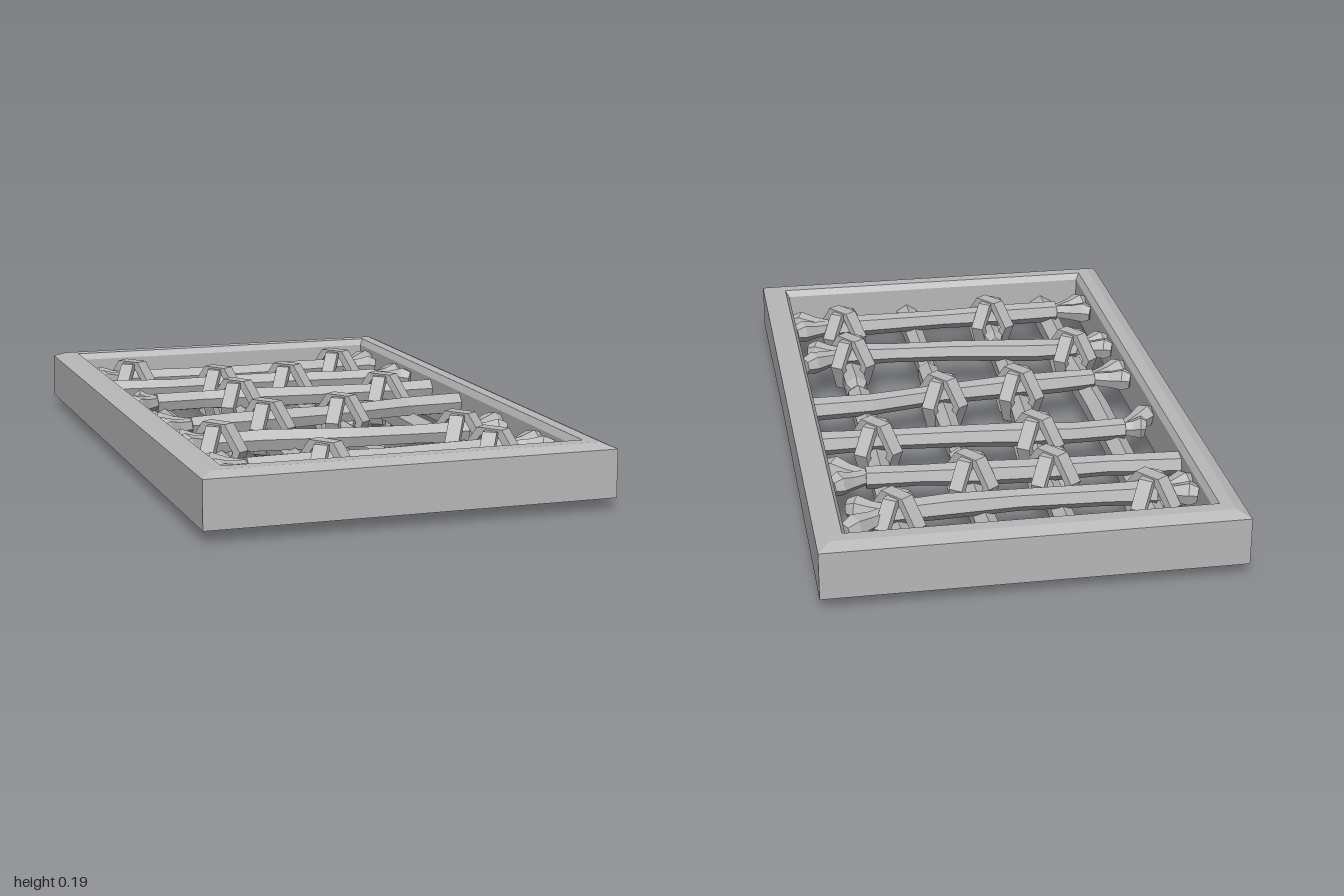
import * as THREE from 'three';

const V = (x, y, z) => new THREE.Vector3(x, y, z);
const grey = new THREE.MeshStandardMaterial({ color: 0xb8b8b8, flatShading: true });
grey.name = 'grey wood';

// Skin a list of equal-sized cross-sections; open lofts get end caps
function loft(rings, closed) {
  const n = rings[0].length, pos = [];
  const tri = (...pts) => pts.forEach(p => pos.push(p.x, p.y, p.z));
  const last = closed ? rings.length : rings.length - 1;
  for (let i = 0; i < last; i++) {
    const A = rings[i], B = rings[(i + 1) % rings.length];
    for (let j = 0; j < n; j++) {
      const k = (j + 1) % n;
      tri(A[j], A[k], B[k]);
      tri(A[j], B[k], B[j]);
    }
  }
  if (!closed) {
    const A = rings[0], B = rings[rings.length - 1];
    for (let j = 1; j < n - 1; j++) {
      tri(A[0], A[j + 1], A[j]);
      tri(B[0], B[j], B[j + 1]);
    }
  }
  const g = new THREE.BufferGeometry();
  g.setAttribute('position', new THREE.Float32BufferAttribute(pos, 3));
  g.computeVertexNormals();
  return g;
}

// Sweep a polygon along a path; radii gives [across, along ref] at each point
function sweep(path, radii, sides, turn, ref, closed = false) {
  const n = path.length;
  const rings = path.map((p, i) => {
    const prev = closed ? path[(i + n - 1) % n] : path[Math.max(i - 1, 0)];
    const next = closed ? path[(i + 1) % n] : path[Math.min(i + 1, n - 1)];
    const t = next.clone().sub(prev).normalize();
    const u = ref.clone().cross(t).normalize(), v = t.clone().cross(u);
    return Array.from({ length: sides }, (_, j) => {
      const a = turn + j / sides * Math.PI * 2;
      return p.clone().addScaledVector(u, Math.cos(a) * radii[i][0])
        .addScaledVector(v, Math.sin(a) * radii[i][1]);
    });
  });
  return loft(rings, closed);
}

export function createModel() {
  const model = new THREE.Group();
  model.name = 'lashedGrate';
  const add = (geo, name, parent = model) => {
    const m = new THREE.Mesh(geo, grey);
    m.name = name;
    parent.add(m);
  };
  const group = name => {
    const g = new THREE.Group();
    g.name = name;
    model.add(g);
    return g;
  };
  const up = V(0, 1, 0);

  // Mitred frame with bevelled top; one long rail is chipped underneath
  const profile = [[0.035, 0.195], [0, 0.18], [0, 0.04], [0.085, 0.04], [0.085, 0.175], [0.073, 0.195]];
  const corner = (sx, sz) => profile.map(([d, y]) => V(sx * (0.6 - d), y, sz * (1 - d * 1.08)));
  const chip = profile.map(([d, y], i) => V(0.6 - d, i === 2 ? 0.06 : y, 0.2));
  add(loft([corner(1, 1), chip, corner(1, -1), corner(-1, -1), corner(-1, 1)], true), 'frame');

  // Lengthwise poles: [x, z, radius] points, lying underneath
  const poles = [
    [[-0.38, -0.92, 0.04], [-0.385, -0.5, 0.036], [-0.39, 0, 0.038], [-0.38, 0.45, 0.036], [-0.385, 0.92, 0.04]],
    [[-0.125, -0.92, 0.036], [-0.13, -0.5, 0.03], [-0.14, -0.1, 0.037], [-0.155, 0.2, 0.033], [-0.165, 0.55, 0.034], [-0.165, 0.59, 0.022]],
    [[-0.165, 0.585, 0.018], [-0.165, 0.63, 0.032], [-0.16, 0.92, 0.032]],
    [[0.095, -0.92, 0.036], [0.1, -0.6, 0.034], [0.1, -0.28, 0.037], [0.1, -0.26, 0.028], [0.1, 0.05, 0.036], [0.1, 0.39, 0.034], [0.1, 0.41, 0.028], [0.1, 0.92, 0.037]],
    [[0.345, -0.92, 0.038], [0.355, -0.5, 0.034], [0.35, -0.1, 0.034], [0.35, 0.23, 0.037], [0.35, 0.27, 0.022]],
    [[0.35, 0.265, 0.02], [0.35, 0.3, 0.037], [0.355, 0.6, 0.034], [0.35, 0.92, 0.037]],
  ];
  const poleGroup = group('lengthwisePoles');
  poles.forEach(p => add(sweep(p.map(([x, z]) => V(x, 0.078, z)),
    p.map(q => [q[2] * 1.08, q[2] * 1.1]), 6, Math.PI / 2, up), 'pole', poleGroup));

  // Crosswise branches: path points [x, z], then the ends of the forked prongs
  const branches = [
    { path: [[-0.4, -0.71], [-0.25, -0.7], [0, -0.69], [0.2, -0.695], [0.37, -0.71]],
      left: [[-0.515, -0.75], [-0.515, -0.66]], right: [[0.51, -0.81], [0.485, -0.665]] },
    { path: [[-0.52, -0.535], [-0.3, -0.512], [-0.1, -0.512], [0.1, -0.5], [0.25, -0.485], [0.41, -0.475]],
      left: [], right: [[0.515, -0.525], [0.515, -0.395]] },
    { path: [[-0.41, -0.27], [-0.25, -0.275], [-0.1, -0.26], [0.1, -0.24], [0.35, -0.225], [0.52, -0.223]],
      left: [[-0.475, -0.285], [-0.515, -0.18]], right: [] },
    { path: [[-0.4, 0.12], [-0.28, 0.11], [-0.1, 0.1], [0.1, 0.08], [0.33, 0.037], [0.52, 0.03]],
      left: [[-0.515, 0.075], [-0.515, 0.185]], right: [] },
    { path: [[-0.4, 0.38], [-0.25, 0.385], [0, 0.425], [0.2, 0.44], [0.37, 0.45]],
      left: [[-0.515, 0.34], [-0.51, 0.425]], right: [[0.51, 0.37], [0.485, 0.49]] },
    { path: [[-0.4, 0.72], [-0.2, 0.715], [0, 0.712], [0.2, 0.705], [0.39, 0.7]],
      left: [[-0.515, 0.668], [-0.515, 0.775]], right: [[0.515, 0.655], [0.515, 0.76]] },
  ];
  const tilt = Math.PI / 2 + 0.3, yBranch = 0.135;
  branches.forEach((b, bi) => {
    const g = group('branch' + (bi + 1));
    add(sweep(b.path.map(([x, z]) => V(x, yBranch, z)),
      b.path.map((_, i) => { const r = 0.034 + 0.003 * Math.cos(i * 2 + bi); return [r, r]; }),
      6, tilt, up), 'stem', g);
    const prong = (root, tip) => {
      const at = (f, dy) => V(root[0] + (tip[0] - root[0]) * f, yBranch + dy, root[1] + (tip[1] - root[1]) * f);
      add(sweep([at(-0.1, 0), at(0.45, 0.002), at(0.8, 0.006), at(1, 0.004)],
        [0.022, 0.028, 0.037, 0.026].map(r => [r, r]), 6, tilt, up), 'prong', g);
    };
    b.left.forEach(t => prong(b.path[0], t));
    b.right.forEach(t => prong(b.path[b.path.length - 1], t));
  });

  // Crossed lashings tied round each bound crossing
  const knots = [[-0.385, -0.71], [0.35, -0.71], [-0.135, -0.512], [0.105, -0.5], [-0.14, -0.26], [0.35, -0.225],
    [-0.15, 0.1], [0.1, 0.08], [-0.385, 0.38], [0.35, 0.45], [-0.165, 0.713], [0.35, 0.7]];
  const loop = [[-0.035, 0.181], [0.035, 0.181], [0.083, 0.12], [0.052, 0.045], [0, 0.018], [-0.052, 0.045], [-0.083, 0.12]];
  const lashings = group('lashings');
  knots.forEach(([x, z]) => [1, -1].forEach(s => {
    const dir = V(0.6, 0, 0.8 * s);
    const path = loop.map(([d, y], i) => V(x + dir.x * d, y + (s > 0 && i < 2 ? 0.006 : 0), z + dir.z * d));
    add(sweep(path, path.map(() => [0.018, 0.03]), 4, Math.PI / 4, V(-dir.z, 0, dir.x), true), 'lashing', lashings);
  }));

  return model;
}
